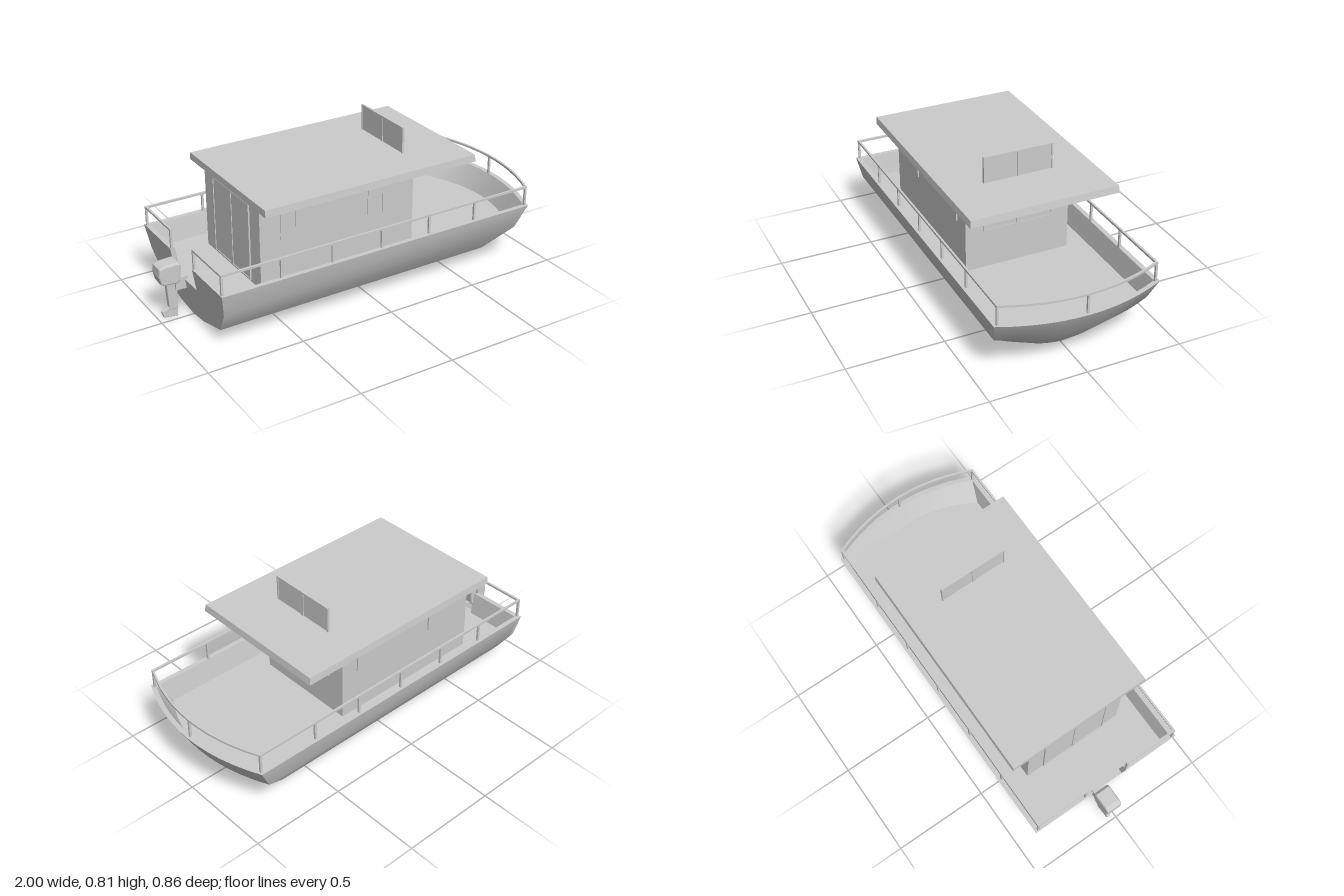
import * as THREE from 'three';
import { toCreasedNormals } from 'three/addons/utils/BufferGeometryUtils.js';

const mat = new THREE.MeshStandardMaterial({ color: 0xcccccc, side: THREE.DoubleSide });
const FLOOR = 0.2, TOP = 0.32, RAIL = 0.42;

function add(parent, name, geometry) {
  const mesh = new THREE.Mesh(geometry, mat);
  mesh.name = name;
  parent.add(mesh);
  return mesh;
}

function group(parent, name) {
  const g = new THREE.Group();
  g.name = name;
  parent.add(g);
  return g;
}

// Box given by its minimum and maximum corners
function box(parent, name, [x0, y0, z0], [x1, y1, z1]) {
  add(parent, name, new THREE.BoxGeometry(x1 - x0, y1 - y0, z1 - z0))
    .position.set((x0 + x1) / 2, (y0 + y1) / 2, (z0 + z1) / 2);
}

// Thin square bar between two points
function bar(parent, name, a, b, size = 0.011) {
  const from = new THREE.Vector3(...a), to = new THREE.Vector3(...b);
  const mesh = add(parent, name, new THREE.BoxGeometry(size, size, from.distanceTo(to) + size));
  mesh.position.copy(from).add(to).multiplyScalar(0.5);
  mesh.lookAt(to);
}

const sternX = y => -0.83 - 0.156 * y;

// Plan outline at one height: stern, side, curved bow, side, stern
function ring(y, w, cornerX, noseX, inset = 0) {
  const pts = [];
  const xs = sternX(y) + inset;
  pts.push([xs, y, w]);
  for (let i = 0; i <= 12; i++) {
    const s = 1 - i / 6;
    pts.push([cornerX + (noseX - cornerX) * (1 - s * s), y, w * s]);
  }
  pts.push([xs, y, -w]);
  return pts;
}

function loft(rings) {
  const n = rings[0].length, index = [];
  for (let i = 0; i < rings.length - 1; i++) {
    for (let j = 0; j < n - 1; j++) {
      const a = i * n + j, b = a + 1, c = a + n, d = c + 1;
      index.push(a, c, b, b, c, d);
    }
  }
  const g = new THREE.BufferGeometry();
  g.setAttribute('position', new THREE.Float32BufferAttribute(rings.flat(2), 3));
  g.setIndex(index);
  return toCreasedNormals(g, 0.55);
}

const polygon = pts => new THREE.Shape(pts.map(p => new THREE.Vector2(...p)));

function buildHull(boat) {
  const hull = group(boat, 'hull');
  // Inner wall, rim and outer skin in one sweep
  const floorRing = ring(FLOOR, 0.385, 0.81, 0.925, 0.01);
  add(hull, 'hullShell', loft([
    floorRing,
    ring(TOP, 0.405, 0.885, 0.975),
    ring(TOP, 0.43, 0.9, 1.0),
    ring(0.2, 0.402, 0.84, 0.935),
    ring(0.08, 0.32, 0.695, 0.825),
    ring(0.02, 0.12, 0.73, 0.757),
    ring(0.004, 0, 0.74, 0.74),
  ]));
  const deck = new THREE.ShapeGeometry(polygon(floorRing.map(([x, , z]) => [x, -z])));
  add(hull, 'deck', deck.rotateX(-Math.PI / 2)).position.y = FLOOR;

  // Sloping transom with a gangway notch
  const half = [[0.12, FLOOR], [0.12, TOP], [0.43, TOP], [0.402, 0.2], [0.32, 0.08], [0.12, 0.02], [0, 0.004]];
  const mirrored = half.slice(0, -1).reverse().map(([z, y]) => [-z, y]);
  const transom = new THREE.ExtrudeGeometry(polygon([...half, ...mirrored]), { depth: 0.025, bevelEnabled: false });
  transom.rotateY(Math.PI / 2);
  const p = transom.attributes.position;
  for (let i = 0; i < p.count; i++) p.setX(i, p.getX(i) + sternX(p.getY(i)));
  transom.computeVertexNormals();
  add(hull, 'transom', transom);
}

function buildRailing(boat) {
  const railing = group(boat, 'railing');
  const outline = ring(RAIL, 0.41, 0.89, 0.98);
  outline[0][0] = outline[outline.length - 1][0] = -0.87;
  const path = [[-0.87, RAIL, 0.125], ...outline, [-0.87, RAIL, -0.125]];
  for (let i = 0; i < path.length - 1; i++) bar(railing, 'handrail', path[i], path[i + 1]);

  const post = (x, z) => bar(railing, 'railPost', [x, TOP - 0.005, z], [x, RAIL, z]);
  for (const side of [-1, 1]) {
    for (const x of [-0.87, -0.56, -0.28, 0, 0.28, 0.56, 0.89]) post(x, side * 0.41);
    post(-0.87, side * 0.125);
  }
  post(0.98, 0);
}

// Pair of framed panes standing across the boat
function glazedPair(parent, name, x, y) {
  const g = group(parent, name);
  const h = 0.405, w = 0.185, t = 0.006, f = 0.008;
  box(g, 'pane', [x - 0.002, y, -w], [x + 0.002, y + h, w]);
  for (const z of [-w, -f, 0, w - f]) box(g, 'upright', [x - t, y, z], [x + t, y + h, z + f]);
  for (const yy of [y, y + h - f]) box(g, 'crossbar', [x - t, yy, -w], [x + t, yy + f, w]);
}

function buildCabin(boat) {
  const cabin = group(boat, 'cabin');
  box(cabin, 'cabinWalls', [-0.6, FLOOR, -0.28], [0.268, 0.636, 0.28]);

  // Roof with slightly drawn-in upper edges
  const roof = new THREE.BoxGeometry(1.195, 0.037, 0.78);
  const p = roof.attributes.position;
  for (let i = 0; i < p.count; i++) {
    if (p.getY(i) > 0) {
      p.setZ(i, p.getZ(i) * 0.99);
      if (p.getX(i) > 0) p.setX(i, p.getX(i) - 0.006);
    }
  }
  roof.computeVertexNormals();
  add(cabin, 'roof', roof).position.set(-0.0275, 0.6535, 0);

  glazedPair(cabin, 'frontWindow', 0.27, 0.405);
  glazedPair(cabin, 'rearDoors', -0.602, 0.21);

  // Sliding side windows: two thin overlapping panes each
  for (const side of [-1, 1]) {
    for (const x of [-0.49, 0]) {
      const z = [0.278, 0.284].map(v => v * side).sort((a, b) => a - b);
      const zo = [0.278, 0.287].map(v => v * side).sort((a, b) => a - b);
      box(cabin, 'sideWindow', [x, 0.44, z[0]], [x + 0.09, 0.58, z[1]]);
      box(cabin, 'sideWindow', [x + 0.082, 0.44, zo[0]], [x + 0.175, 0.58, zo[1]]);
    }
  }
}

// Side profile extruded across the boat, centred on its own z
function profile(parent, name, pts, width, bevel) {
  const g = new THREE.ExtrudeGeometry(polygon(pts), {
    depth: width - 2 * bevel, bevelEnabled: bevel > 0, bevelSize: bevel, bevelOffset: -bevel,
    bevelThickness: bevel, bevelSegments: 2,
  });
  g.translate(0, 0, bevel - width / 2);
  add(parent, name, g);
}

function buildMotor(boat) {
  const motor = group(boat, 'outboardMotor');
  profile(motor, 'motorCover', [[-0.99, 0.21], [-0.975, 0.2], [-0.905, 0.195], [-0.89, 0.21],
    [-0.88, 0.295], [-0.895, 0.308], [-0.975, 0.305], [-0.997, 0.295], [-1, 0.25]], 0.086, 0.01);
  profile(motor, 'motorLeg', [[-0.955, 0.2], [-0.945, 0.045], [-0.9, 0.045], [-0.895, 0.2]], 0.03, 0.005);
  profile(motor, 'motorFoot', [[-0.985, 0.045], [-0.975, 0.01], [-0.9, 0], [-0.9, 0.06], [-0.945, 0.06]], 0.02, 0.004);
  box(motor, 'motorBracket', [-0.91, 0.15, -0.025], [-0.845, 0.215, 0.025]);
  motor.position.z = -0.034;
}

export function createModel() {
  const boat = new THREE.Group();
  boat.name = 'cabinBoat';
  buildHull(boat);
  buildRailing(boat);
  buildCabin(boat);
  buildMotor(boat);
  return boat;
}
